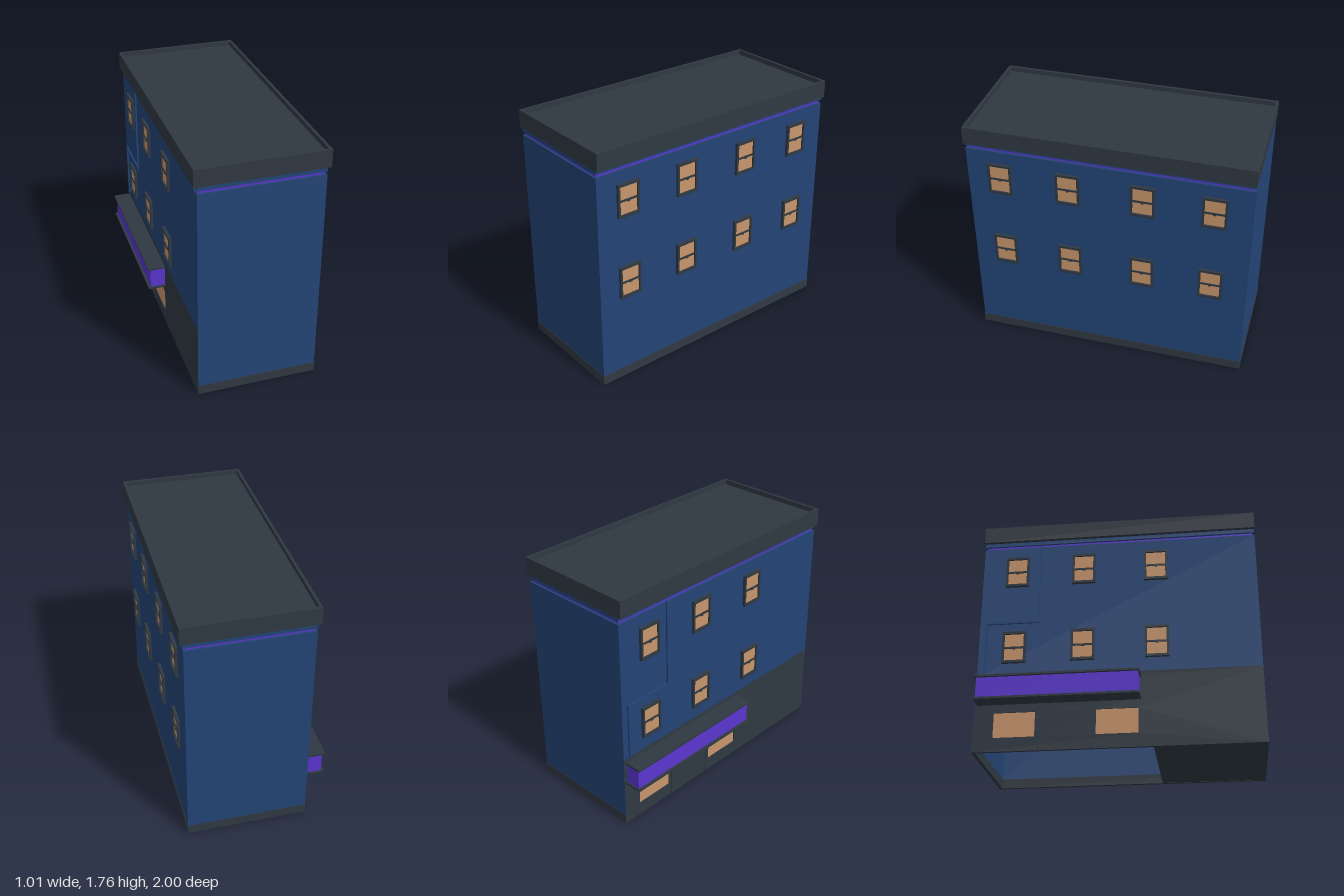
import * as THREE from 'three';

const mat = (name, color, side = THREE.FrontSide) => {
  const m = new THREE.MeshStandardMaterial({ color, side });
  m.name = name;
  return m;
};

export function createModel() {
  const blue = mat('blue wall', 0x234476);
  const dark = mat('dark trim', 0x2f3842);
  const glass = mat('warm glass', 0xc8956c);
  const purple = mat('purple accent', 0x5a35cf);

  const building = new THREE.Group();
  building.name = 'building';

  // Box given by its limits on each axis
  const box = (name, m, x0, x1, y0, y1, z0, z1, parent = building) => {
    const mesh = new THREE.Mesh(new THREE.BoxGeometry(x1 - x0, y1 - y0, z1 - z0), m);
    mesh.position.set((x0 + x1) / 2, (y0 + y1) / 2, (z0 + z1) / 2);
    mesh.name = name;
    parent.add(mesh);
    return mesh;
  };

  const L = -0.38, R = 0.48, Z = 0.997, T = 0.02;

  // Hollow main walls
  box('sideWall', blue, R - T, R, 0.07, 1.59, -Z, Z);
  box('upperShopWall', blue, L, L + T, 0.55, 1.59, -Z, Z);
  for (const s of [1, -1]) {
    const [a, b] = s > 0 ? [Z - T, Z] : [-Z, -Z + T];
    box('endWall', blue, L + T, R - T, 0.07, 1.59, a, b);
    box('endWallEdge', blue, L, L + T, 0.07, 0.55, s > 0 ? Z - 0.002 : -Z, s > 0 ? Z : -Z + 0.002);
    box('endBase', dark, L, R + 0.004, 0, 0.07, s > 0 ? Z - T : -1, s > 0 ? 1 : -Z + T);
  }
  box('sideBase', dark, R - T, R + 0.004, 0, 0.07, -Z + T, Z - T);
  box('floorSlab', dark, L + T, R - T, 0.002, 0.012, 0.24, Z - T);

  // Recessed accent band, frieze and roof with a raised rim
  box('accentBand', purple, L + 0.015, R - 0.015, 1.585, 1.615, -0.983, 0.983);
  box('frieze', blue, L, R, 1.612, 1.645, -Z, Z);
  box('roofDeck', dark, -0.385, 0.485, 1.64, 1.73, -0.98, 0.98);
  for (const [x0, x1] of [[-0.405, -0.385], [0.485, 0.505]])
    box('roofRim', dark, x0, x1, 1.64, 1.765, -1, 1);
  for (const [z0, z1] of [[-1, -0.98], [0.98, 1]])
    box('roofRim', dark, -0.385, 0.485, 1.64, 1.765, z0, z1);

  // Shop wall with openings for the awning and display windows (shape x is world z)
  const rect = (P, z0, z1, y0, y1) => {
    const p = new P();
    p.moveTo(z0, y0); p.lineTo(z1, y0); p.lineTo(z1, y1); p.lineTo(z0, y1); p.closePath();
    return p;
  };
  const displays = [[-0.86, -0.57], [-0.15, 0.14]];
  const front = rect(THREE.Shape, -Z + 0.002, Z - 0.002, 0, 0.55);
  front.holes.push(rect(THREE.Path, -0.96, 0.14, 0.355, 0.505));
  for (const [a, b] of displays) front.holes.push(rect(THREE.Path, a, b, 0.1, 0.28));
  const shop = new THREE.Mesh(
    new THREE.ExtrudeGeometry(front, { depth: T, bevelEnabled: false }), dark);
  shop.rotation.y = -Math.PI / 2;
  shop.position.x = L + T;
  shop.name = 'shopWall';
  building.add(shop);
  for (const [a, b] of displays) box('displayGlass', glass, -0.374, -0.366, 0.1, 0.28, a, b);

  // Door between the display windows
  box('doorGlass', glass, L + T, L + T + 0.006, 0.02, 0.31, -0.54, -0.185);
  for (const z of [-0.545, -0.185])
    box('doorJamb', dark, L - 0.005, L, 0, 0.34, z, z + 0.008);

  // Awning, open at the back
  const awning = new THREE.Group();
  awning.name = 'awning';
  building.add(awning);
  box('awningTop', dark, -0.508, L, 0.505, 0.52, -0.98, 0.16, awning);
  box('awningBottom', dark, -0.508, L, 0.34, 0.355, -0.98, 0.16, awning);
  box('awningFace', purple, -0.49, -0.48, 0.355, 0.505, -0.97, 0.15, awning);
  for (const z of [-0.97, 0.14])
    box('awningEnd', purple, -0.48, L, 0.355, 0.505, z, z + 0.01, awning);

  // Sash window facing +x, built about its centre on the wall plane
  const makeWindow = () => {
    const w = new THREE.Group();
    w.name = 'window';
    const h = 0.12, d = 0.085;
    box('backing', dark, -0.03, 0.004, -h, h, -d, d, w);
    box('pane', glass, 0.004, 0.009, -h + 0.015, h - 0.015, -d + 0.015, d - 0.015, w);
    for (const s of [-1, 1]) {
      const y = s * (h - 0.009), z = s * (d - 0.008);
      box('frameRail', dark, 0, 0.022, y - 0.009, y + 0.009, -d, d, w);
      box('frameStile', dark, 0, 0.02, -h, h, z - 0.008, z + 0.008, w);
    }
    box('meetingRail', dark, 0.004, 0.016, -0.009, 0.004, -d, d, w);
    box('latch', dark, 0.004, 0.018, -0.015, -0.009, -0.01, 0.01, w);
    return w;
  };
  const columns = [-0.74, -0.25, 0.275, 0.76];
  for (const y of [0.77, 1.38]) {
    columns.forEach((z, i) => {
      const right = makeWindow();
      right.position.set(R, y, z);
      building.add(right);
      if (i === 3) return;
      const left = makeWindow();
      left.rotation.y = Math.PI;
      left.position.set(L, y, z);
      building.add(left);
    });
  }

  // Drainpipe stepping around the windows
  const px = L - 0.012;
  box('drainpipe', blue, px, L, 0.96, 1.6, -0.581, -0.569);
  box('drainpipe', blue, px, L, 0.96, 0.972, -0.95, -0.581);
  box('drainpipe', blue, px, L, 0.55, 0.96, -0.95, -0.938);

  return building;
}
